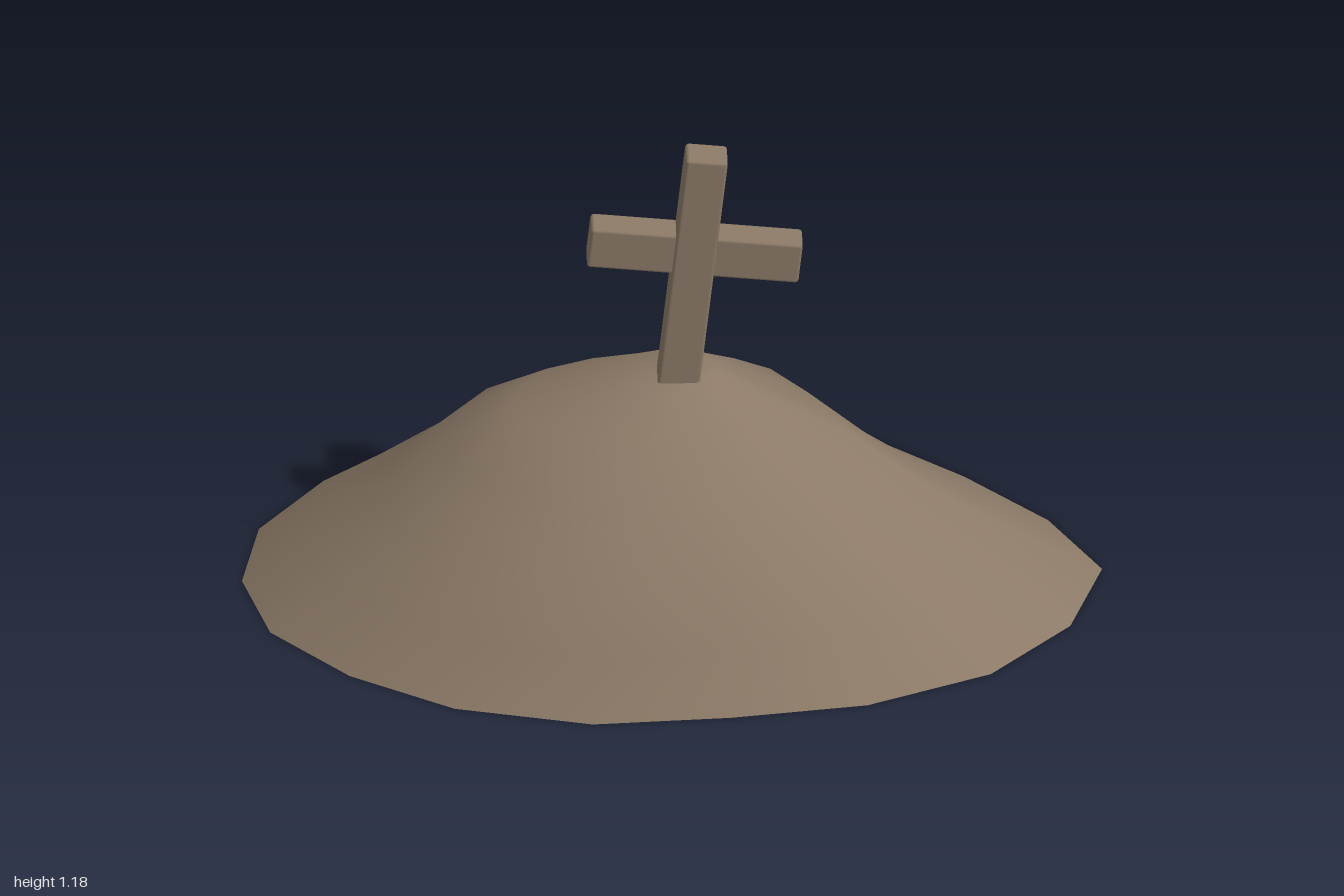
import * as THREE from 'three';
import { RoundedBoxGeometry } from 'three/addons/geometries/RoundedBoxGeometry.js';

// Uneven footprint of the mound (x, z), going round from +x through +z
const FOOTPRINT = [
  [1, 0], [0.92, 0.24], [0.73, 0.44], [0.44, 0.565], [0.12, 0.61], [-0.2, 0.63],
  [-0.52, 0.555], [-0.76, 0.41], [-0.94, 0.22], [-1, 0], [-0.955, -0.22], [-0.8, -0.42],
  [-0.52, -0.55], [-0.2, -0.62], [0.13, -0.635], [0.47, -0.575], [0.69, -0.4], [0.88, -0.21],
];

// Each ring: height, then its reach along +x, +z, -x and -z as a share of the footprint
const RINGS = [
  [0, 1, 1, 1, 1],
  [0.12, 0.78, 0.87, 0.85, 0.81],
  [0.25, 0.58, 0.75, 0.67, 0.66],
  [0.38, 0.42, 0.53, 0.53, 0.53],
  [0.48, 0.25, 0.37, 0.37, 0.34],
  [0.57, 0.11, 0.13, 0.09, 0.14],
];

function moundGeometry() {
  const n = FOOTPRINT.length, positions = [], index = [];
  RINGS.forEach(([y, px, pz, nx, nz], r) => {
    FOOTPRINT.forEach(([x, z], i) => {
      const a = (i / n) * Math.PI * 2, c = Math.cos(a) ** 2;
      let f = c * (x > 0 ? px : nx) + (1 - c) * (z > 0 ? pz : nz);
      // shallow hollow on the front left shoulder
      if (r > 1 && r < 5 && (i === 1 || i === 2)) f *= 0.93;
      positions.push(x * f, y, z * f);
    });
  });
  const top = positions.length / 3;
  positions.push(0.02, 0.562, 0.01);
  for (let r = 0; r < RINGS.length; r++) {
    for (let i = 0; i < n; i++) {
      const a = r * n + i, b = r * n + (i + 1) % n;
      if (r === RINGS.length - 1) index.push(a, top, b);
      else index.push(a, a + n, b, b, a + n, b + n);
    }
  }
  const g = new THREE.BufferGeometry();
  g.setAttribute('position', new THREE.Float32BufferAttribute(positions, 3));
  g.setIndex(index);
  g.computeVertexNormals();
  return g;
}

export function createModel() {
  const group = new THREE.Group();
  const earth = new THREE.MeshStandardMaterial({ color: 0x8c7a67, side: THREE.DoubleSide });
  earth.name = 'earth brown';

  // Hollow heap of earth, open underneath
  const mound = new THREE.Mesh(moundGeometry(), earth);
  mound.name = 'mound';
  group.add(mound);

  // Leaning cross, its post sunk into the mound
  const cross = new THREE.Group();
  cross.name = 'cross';
  cross.position.set(0.052, 0.913, 0);
  cross.rotation.z = -0.107;
  const beam = (name, w, h, d, y, z) => {
    const mesh = new THREE.Mesh(new RoundedBoxGeometry(w, h, d, 1, 0.008), earth);
    mesh.name = name;
    mesh.position.set(0, y, z);
    cross.add(mesh);
  };
  beam('post', 0.098, 0.945, 0.082, -0.205, 0.013);
  beam('crossbar', 0.495, 0.106, 0.076, 0, 0.009);
  group.add(cross);

  return group;
}
